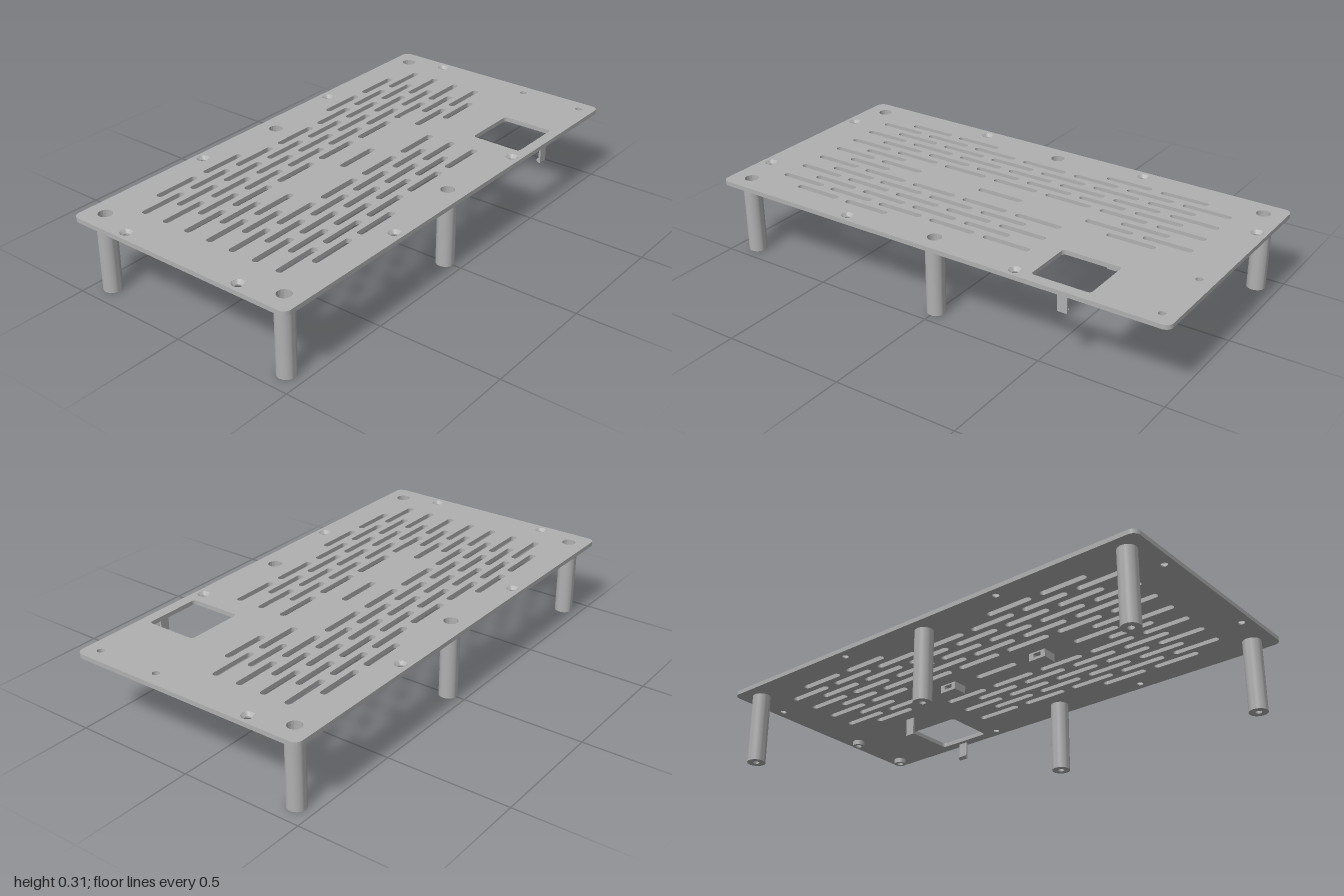
import * as THREE from 'three';
import { toCreasedNormals } from 'three/addons/utils/BufferGeometryUtils.js';

const TOP = 0.314, UNDER = 0.296;

// Rounded rectangle, usable as outline or hole
function roundRect(path, cx, cy, w, h, r) {
  const x = w / 2 - r, y = h / 2 - r;
  path.absarc(cx + x, cy + y, r, 0, Math.PI / 2);
  path.absarc(cx - x, cy + y, r, Math.PI / 2, Math.PI);
  path.absarc(cx - x, cy - y, r, Math.PI, Math.PI * 1.5);
  path.absarc(cx + x, cy - y, r, Math.PI * 1.5, Math.PI * 2);
  path.closePath();
  return path;
}

export function createModel() {
  const model = new THREE.Group();
  model.name = 'ventedCover';
  const grey = new THREE.MeshStandardMaterial({ color: 0xb0b0b0 });
  grey.name = 'grey plastic';

  function add(name, geometry, x = 0, y = 0, z = 0) {
    const mesh = new THREE.Mesh(geometry, grey);
    mesh.name = name;
    mesh.position.set(x, y, z);
    model.add(mesh);
    return mesh;
  }
  // Closed ring profile: outside upwards, then bore downwards
  function turned(points) {
    const profile = [...points, points[0]].map(([r, y]) => new THREE.Vector2(r, y));
    return toCreasedNormals(new THREE.LatheGeometry(profile, 32), 0.5);
  }

  const posts = [[-0.915, -0.427], [0, -0.427], [0.915, -0.427], [-0.915, 0.427], [0, 0.427]];
  const screws = [[-0.38, -0.467], [0.38, -0.467], [-0.38, 0.467], [0.38, 0.467],
    [-0.96, -0.267], [0.96, -0.267], [-0.96, 0.267]];
  const bosses = [[0.94, 0.17], [0.94, 0.443]];

  // Cover plate with all its openings
  const plate = roundRect(new THREE.Shape(), 0, 0, 2, 1.01, 0.03);
  const circleHole = (r) => ([x, z]) => plate.holes.push(new THREE.Path().absarc(x, z, r, 0, Math.PI * 2));
  posts.forEach(circleHole(0.028));
  screws.forEach(circleHole(0.025));
  bosses.forEach(circleHole(0.014));
  plate.holes.push(roundRect(new THREE.Path(), 0.56, 0.353, 0.24, 0.215, 0.015));

  // Staggered vent slots: column numbers for each row, back to front
  const rows = ['0145', '0123456', '012345', '0123456', '012345', '0123456', '05', '01356',
    '05', '01234', '0123', '01234', '0123', '01234', '01'];
  rows.forEach((columns, i) => {
    const start = i % 2 ? -0.731 : -0.609;
    for (const k of columns) {
      plate.holes.push(roundRect(new THREE.Path(), start + k * 0.2437, (i - 7) * 0.0535, 0.2, 0.027, 0.0134));
    }
  });
  const plateGeometry = new THREE.ExtrudeGeometry(plate, { depth: TOP - UNDER, bevelEnabled: false, curveSegments: 8 });
  plateGeometry.rotateX(Math.PI / 2);
  add('coverPlate', plateGeometry, 0, TOP, 0);

  // Hollow legs with a screw head recess at the top
  const postGeometry = turned([[0.013, 0], [0.037, 0], [0.037, UNDER], [0.028, UNDER], [0.028, 0.2], [0.013, 0.2]]);
  posts.forEach(([x, z]) => add('post', postGeometry, x, 0, z));

  // Countersunk screw seats
  const seatGeometry = turned([[0.013, UNDER], [0.025, UNDER], [0.025, TOP], [0.013, UNDER + 0.005]]);
  screws.forEach(([x, z]) => add('screwSeat', seatGeometry, x, 0, z));

  // Short bosses under the plate
  const bossGeometry = turned([[0.014, 0.275], [0.026, 0.275], [0.026, UNDER], [0.014, UNDER]]);
  bosses.forEach(([x, z]) => add('boss', bossGeometry, x, 0, z));

  // Cable tie loops: blocks with a tunnel running front to back
  const loop = new THREE.Shape([[-0.038, 0], [0.038, 0], [0.038, 0.033], [-0.038, 0.033]]
    .map(([x, y]) => new THREE.Vector2(x, y)));
  loop.holes.push(roundRect(new THREE.Path(), 0, 0.019, 0.036, 0.016, 0.002));
  const loopGeometry = new THREE.ExtrudeGeometry(loop, { depth: 0.064, bevelEnabled: false });
  for (const x of [-0.23, 0.228]) add('tieLoop', loopGeometry, x, 0.263, -0.031);

  // Snap clips with hooks facing each other
  const clip = new THREE.Shape([[0, 0.296], [0, 0.22], [0.006, 0.22], [0.017, 0.228], [0.017, 0.232],
    [0.008, 0.232], [0.008, 0.296]].map(([x, y]) => new THREE.Vector2(x, y)));
  const clipGeometry = new THREE.ExtrudeGeometry(clip, { depth: 0.04, bevelEnabled: false });
  clipGeometry.translate(0, 0, -0.02);
  add('frontClip', clipGeometry, 0.585, 0, 0.488).rotation.y = Math.PI / 2;
  add('rearClip', clipGeometry, 0.585, 0, 0.127).rotation.y = -Math.PI / 2;

  return model;
}
